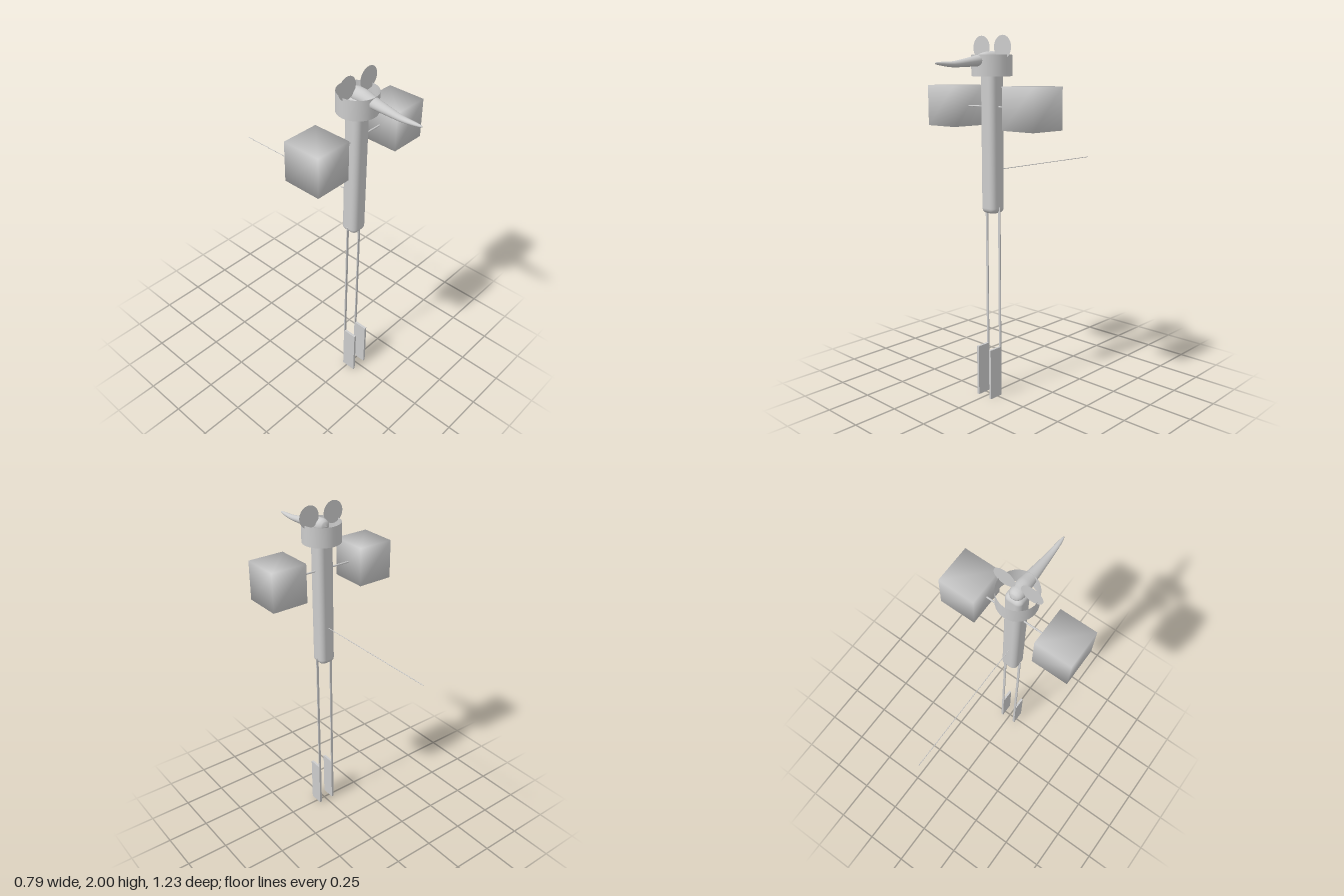
import * as THREE from 'three';
import { mergeVertices } from 'three/addons/utils/BufferGeometryUtils.js';
import { RoundedBoxGeometry } from 'three/addons/geometries/RoundedBoxGeometry.js';
import { ParametricGeometry } from 'three/addons/geometries/ParametricGeometry.js';

const Z = 0.223; // depth of the body axis
const grey = new THREE.MeshStandardMaterial({ color: 0xcccccc });
const greyThin = new THREE.MeshStandardMaterial({ color: 0xcccccc, side: THREE.DoubleSide });

// Box whose corners share one averaged normal, giving soft shading
function softBox(w, h, d) {
  const g = new THREE.BoxGeometry(w, h, d);
  g.deleteAttribute('normal');
  g.deleteAttribute('uv');
  const merged = mergeVertices(g);
  merged.computeVertexNormals();
  return merged;
}

// Long tapering nose: sections [z, centre y, half width, half height]
function noseGeometry() {
  const sections = [
    [0.18, 1.882, 0.001, 0.001], [0.186, 1.882, 0.022, 0.022], [0.2, 1.882, 0.034, 0.034],
    [0.225, 1.88, 0.04, 0.039], [0.27, 1.878, 0.039, 0.037], [0.33, 1.869, 0.034, 0.029],
    [0.42, 1.858, 0.025, 0.021], [0.5, 1.85, 0.018, 0.015], [0.57, 1.852, 0.012, 0.01],
    [0.605, 1.854, 0.006, 0.006], [0.614, 1.854, 0.001, 0.001],
  ];
  const centre = new THREE.CatmullRomCurve3(sections.map(([z, y]) => new THREE.Vector3(0, y, z)));
  const radius = new THREE.CatmullRomCurve3(sections.map(([, , rx, ry]) => new THREE.Vector3(rx, ry, 0)));
  return new ParametricGeometry((u, v, target) => {
    const c = centre.getPoint(v), r = radius.getPoint(v), a = u * Math.PI * 2;
    target.set(r.x * Math.cos(a), c.y + r.y * Math.sin(a), c.z);
  }, 20, 30);
}

export function createModel() {
  const model = new THREE.Group();
  const add = (name, geometry, x, y, z, material = grey) => {
    const mesh = new THREE.Mesh(geometry, material);
    mesh.name = name;
    mesh.position.set(x, y, z);
    model.add(mesh);
    return mesh;
  };

  // Column body with rounded ends
  add('body', new RoundedBoxGeometry(0.1, 0.82, 0.1, 4, 0.03), 0, 1.465, Z);

  // Head: open band around the top of the body
  add('headBand', new THREE.CylinderGeometry(0.109, 0.109, 0.11, 32, 1, true), 0, 1.845, Z, greyThin);
  add('nose', noseGeometry(), 0, 0, 0);

  // Straight thin tail
  const tail = add('tail', new THREE.CylinderGeometry(0.002, 0.002, 0.815, 8), 0, 1.29, -0.2075);
  tail.rotation.x = Math.PI / 2;

  for (const [side, s] of [['left', 1], ['right', -1]]) {
    // Flat round ear
    add(side + 'Ear', new THREE.CircleGeometry(0.062, 32), s * 0.078, 1.938, Z, greyThin);

    // Thin arm ending in a block hand
    const arm = add(side + 'Arm', new THREE.CylinderGeometry(0.005, 0.005, 0.18, 10), s * 0.11, 1.63, Z);
    arm.rotation.z = Math.PI / 2;
    add(side + 'Hand', softBox(0.213, 0.222, 0.222), s * 0.287, 1.63, Z);

    // Slim leg with an upright plate foot
    add(side + 'Leg', new THREE.BoxGeometry(0.014, 1.09, 0.006), s * 0.048, 0.545, Z);
    add(side + 'Foot', new THREE.BoxGeometry(0.014, 0.29, 0.084), s * 0.048, 0.145, 0.263);
  }
  return model;
}
